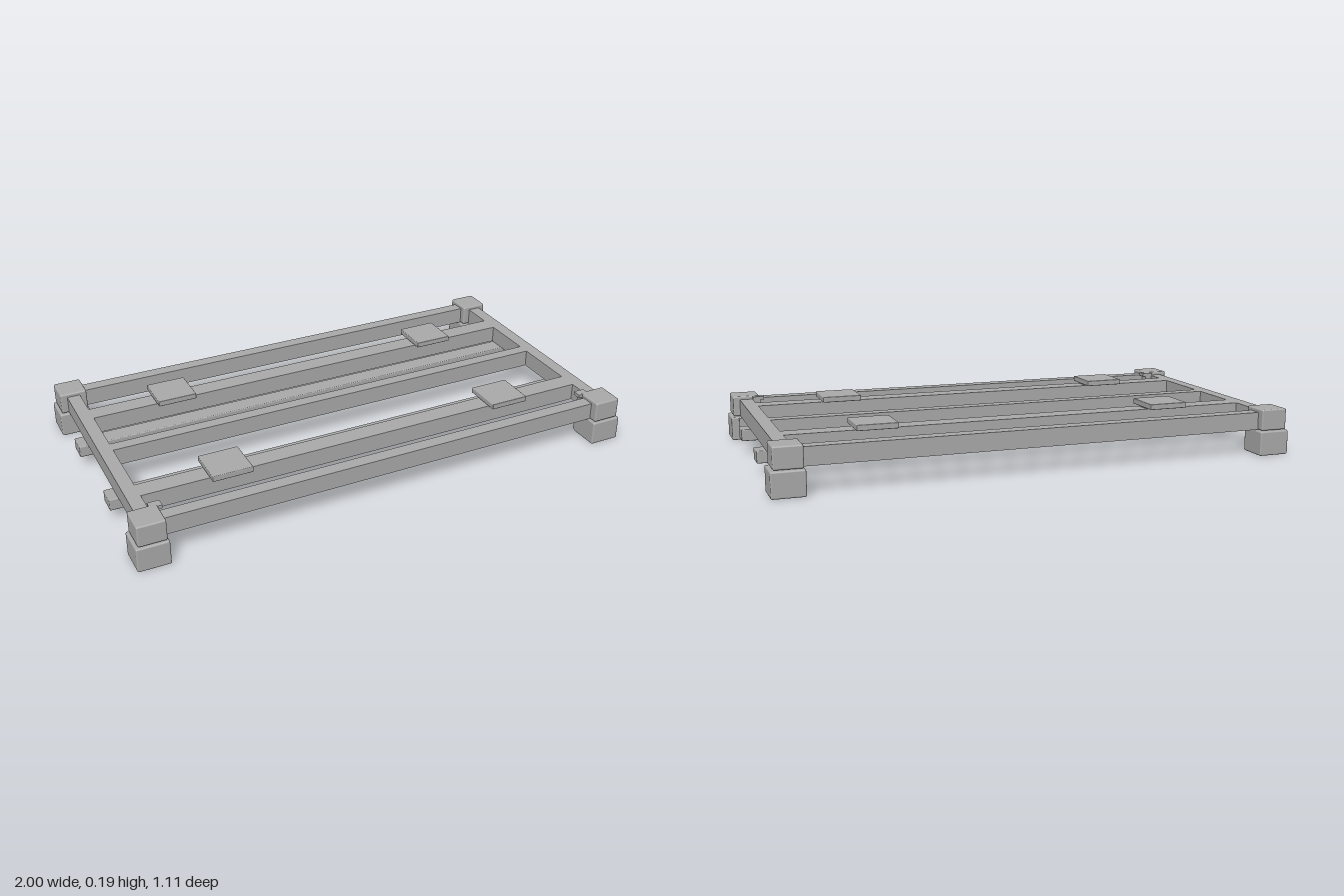
import * as THREE from 'three';
import { RoundedBoxGeometry } from 'three/addons/geometries/RoundedBoxGeometry.js';

export function createModel() {
  const model = new THREE.Group();
  model.name = 'palletFrame';
  const grey = new THREE.MeshStandardMaterial({ color: 0xaaaaaa });
  grey.name = 'grey';

  // Box given by its extents on each axis, with an optional small edge bevel
  function box(name, [x0, x1], [y0, y1], [z0, z1], bevel = 0) {
    const size = [x1 - x0, y1 - y0, z1 - z0];
    const geometry = bevel
      ? new RoundedBoxGeometry(...size, 2, bevel)
      : new THREE.BoxGeometry(...size);
    const mesh = new THREE.Mesh(geometry, grey);
    mesh.name = name;
    mesh.position.set((x0 + x1) / 2, (y0 + y1) / 2, (z0 + z1) / 2);
    model.add(mesh);
  }
  // Extents mirrored to the chosen side
  const flip = (s, a, b) => (s > 0 ? [a, b] : [-b, -a]);

  const frameY = [0.098, 0.166];

  for (const s of [1, -1]) {
    // Corner feet with a slightly smaller block on top
    for (const f of [1, -1]) {
      box('foot', flip(s, 0.878, 1), [0, 0.095], flip(f, 0.434, 0.553), 0.006);
      box('cornerBlock', flip(s, 0.884, 0.99), [0.098, 0.18], flip(f, 0.44, 0.548), 0.006);
    }
    // Side rails between the corner blocks
    box('sideRail', flip(s, 0.912, 0.963), frameY, [-0.45, 0.45]);

    // Latch post on the inside of each front corner
    box('latchPost', flip(s, 0.882, 0.91), [0.03, 0.17], [0.425, 0.45]);
    box('latchCap', flip(s, 0.867, 0.912), [0.165, 0.178], [0.421, 0.455]);
    box('latchFoot', flip(s, 0.88, 0.97), [0.006, 0.092], [0.426, 0.44]);

    // Load pads on the inner rails
    box('pad', flip(s, 0.504, 0.659), [0.17, 0.192], [0.235, 0.39], 0.003);
    box('pad', flip(s, 0.504, 0.659), [0.17, 0.192], [-0.355, -0.202], 0.003);
    for (const z of [0.314, -0.274]) {
      box('padSpacer', flip(s, 0.51, 0.653), [0.16, 0.172], [z - 0.03, z + 0.03]);
    }
  }

  // Long rails: outer pair, inner pair and centre
  box('frontRail', [-0.89, 0.89], frameY, [0.464, 0.515]);
  box('backRail', [-0.89, 0.89], frameY, [-0.518, -0.467]);
  box('innerFrontRail', [-0.915, 0.915], frameY, [0.277, 0.352]);
  box('innerBackRail', [-0.915, 0.915], frameY, [-0.311, -0.236]);
  box('centreRail', [-0.915, 0.915], frameY, [-0.025, 0.023]);

  // Skids running under the side rails
  box('frontSkid', [-0.997, 0.997], [0.052, 0.098], [0.16, 0.234], 0.004);
  box('backSkid', [-0.997, 0.997], [0.052, 0.098], [-0.235, -0.161], 0.004);

  return model;
}
